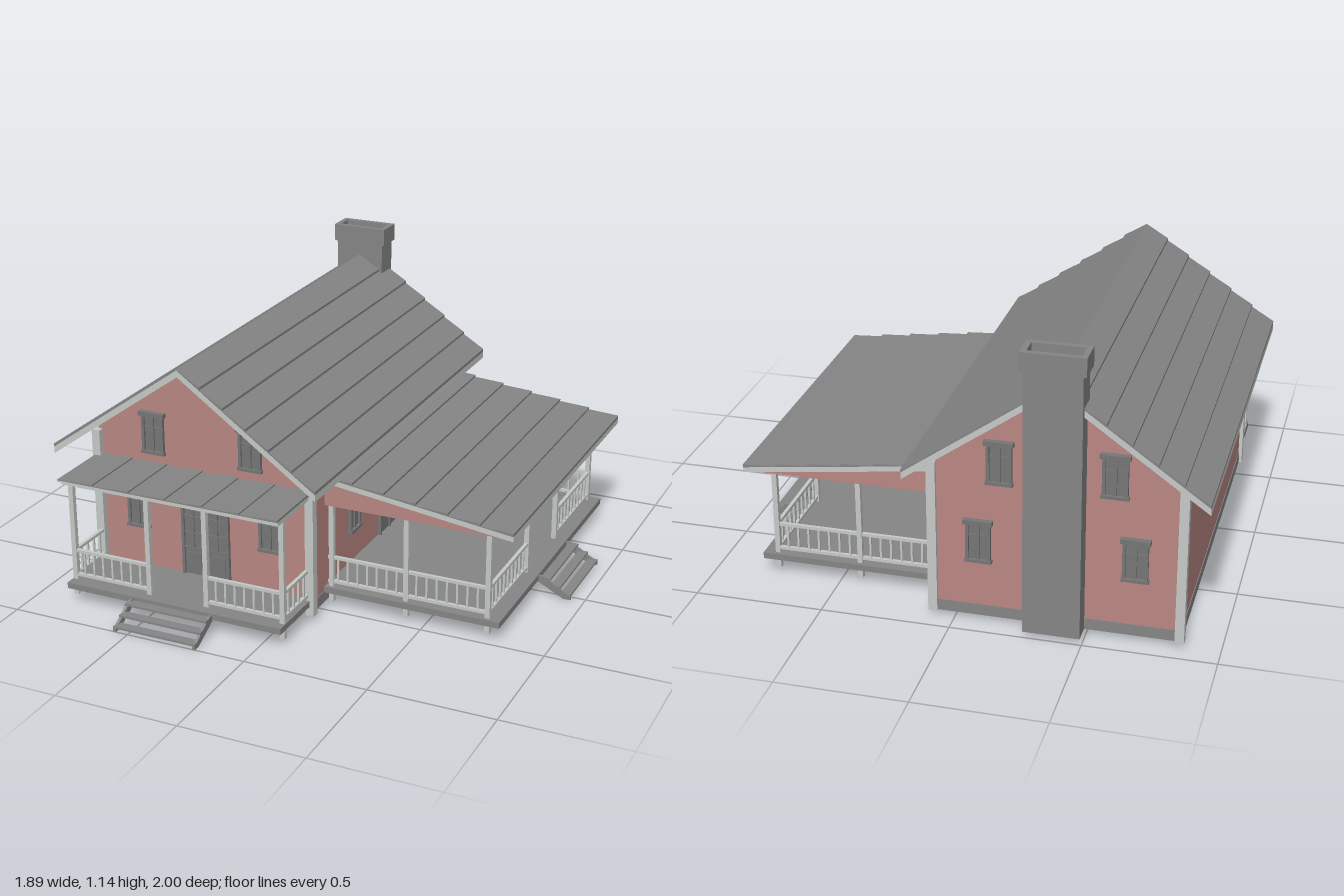
import * as THREE from 'three';

const mat = (name, color) => Object.assign(new THREE.MeshStandardMaterial({ color }), { name });

export function createModel() {
  const model = new THREE.Group();
  model.name = 'farmhouse';
  const red = mat('red siding', 0xb98683);
  const trim = mat('pale trim', 0xc6cac7);
  const grey = mat('grey roofing and stone', 0x858585);
  const joinery = mat('grey joinery', 0x767676);

  const add = (parent, name, geometry, material) => {
    const mesh = new THREE.Mesh(geometry, material);
    mesh.name = name;
    parent.add(mesh);
    return mesh;
  };
  // Box given by its low and high corners
  const box = (parent, name, material, [x0, x1], [y0, y1], [z0, z1]) => {
    const mesh = add(parent, name, new THREE.BoxGeometry(x1 - x0, y1 - y0, z1 - z0), material);
    mesh.position.set((x0 + x1) / 2, (y0 + y1) / 2, (z0 + z1) / 2);
    return mesh;
  };
  // Outline in x/y extruded from z0 to z1
  const prism = (parent, name, material, points, z0, z1) => {
    const shape = new THREE.Shape(points.map(([x, y]) => new THREE.Vector2(x, y)));
    const geometry = new THREE.ExtrudeGeometry(shape, { depth: z1 - z0, bevelEnabled: false });
    geometry.translate(0, 0, z0);
    return add(parent, name, geometry, material);
  };
  const group = (name) => {
    const g = new THREE.Group();
    g.name = name;
    model.add(g);
    return g;
  };

  // Roof plane: pale board below, overlapping courses on top
  const roofPlane = (name, [xa, ya], [xb, yb], thick, z0, z1, lip) => {
    const g = group(name);
    prism(g, 'roofBoard', trim, [[xa, ya], [xb, yb], [xb, yb - thick], [xa, ya - thick]], z0, z1);
    const n = 6;
    for (let i = 0; i < n; i++) {
      const at = (t, up) => [xa + (xb - xa) * t, ya + (yb - ya) * t + up];
      const a = i / n, b = (i + 1) / n;
      prism(g, 'roofCourse', grey, [at(a, 0), at(b, 0), at(b, lip), at(a, 0.003)], z0 - 0.002, z1 + 0.002);
    }
  };

  // House body and foundation
  const mid = -0.385;
  prism(model, 'houseWalls', red,
    [[-0.85, 0.06], [0.08, 0.06], [0.08, 0.648], [mid, 0.98], [-0.85, 0.648]], -0.915, 0.583);
  box(model, 'foundation', grey, [-0.853, 0.083], [0.02, 0.065], [-0.918, 0.586]);
  for (const x of [-0.865, 0.065])
    for (const z of [-0.93, 0.575])
      box(model, 'cornerBoard', trim, [x, x + 0.035], [0.02, 0.64], [z, z + 0.035]);

  // Roofs
  roofPlane('mainRoofRight', [mid, 1.008], [0.18, 0.607], 0.028, -0.973, 0.753, 0.013);
  roofPlane('mainRoofLeft', [mid, 1.008], [-0.947, 0.607], 0.028, -0.973, 0.753, 0.013);
  roofPlane('sidePorchRoof', [0.08, 0.562], [0.862, 0.46], 0.022, -0.806, 0.494, 0.012);
  roofPlane('frontPorchRoof', [-0.857, 0.53], [0.087, 0.53], 0.008, 0.583, 0.878, 0.009);
  prism(model, 'sidePorchGable', red,
    [[0.08, 0.43], [0.8, 0.43], [0.8, 0.447], [0.08, 0.54]], -0.775, 0.463);
  box(model, 'frontPorchBeam', trim, [-0.85, 0.08], [0.506, 0.522], [0.583, 0.86]);

  // Chimney with a hollow cap
  box(model, 'chimney', grey, [-0.492, -0.277], [0.02, 1.075], [-0.993, -0.887]);
  const cap = new THREE.Shape([[-0.12, -0.0575], [0.12, -0.0575], [0.12, 0.0575], [-0.12, 0.0575]]
    .map(([x, y]) => new THREE.Vector2(x, y)));
  cap.holes.push(new THREE.Path([[-0.098, -0.036], [-0.098, 0.036], [0.098, 0.036], [0.098, -0.036]]
    .map(([x, y]) => new THREE.Vector2(x, y))));
  const capMesh = add(model, 'chimneyCap',
    new THREE.ExtrudeGeometry(cap, { depth: 0.072, bevelEnabled: false }), grey);
  capMesh.rotation.x = -Math.PI / 2;
  capMesh.position.set(mid, 1.065, -0.9425);

  // Porch decks
  box(model, 'frontDeck', grey, [-0.853, 0.083], [0.06, 0.085], [0.58, 0.86]);
  box(model, 'sideDeck', grey, [0.08, 0.81], [0.06, 0.085], [-0.785, 0.475]);

  // Porch posts
  const post = (x, z, top) =>
    box(model, 'porchPost', trim, [x - 0.01, x + 0.01], [0.02, top], [z - 0.01, z + 0.01]);
  for (const x of [-0.84, -0.505, -0.255, 0.07]) post(x, 0.81, 0.51);
  const sideZ = [0.45, 0.02, -0.325, -0.76];
  for (const z of sideZ) post(0.755, z, 0.45);
  for (const z of [0.45, -0.76]) { post(0.42, z, 0.45); post(0.105, z, 0.45); }

  // Railings between two ground points
  const railing = (x0, z0, x1, z1) => {
    const g = group('railing');
    const len = Math.hypot(x1 - x0, z1 - z0);
    const n = Math.max(2, Math.round(len / 0.042));
    for (const y of [0.105, 0.208])
      box(g, 'rail', trim, [0, len], [y - 0.006, y + 0.006], [-0.007, 0.007]);
    for (let i = 1; i < n; i++) {
      const x = len * i / n;
      box(g, 'baluster', trim, [x - 0.004, x + 0.004], [0.105, 0.208], [-0.004, 0.004]);
    }
    g.position.set(x0, 0, z0);
    g.rotation.y = Math.atan2(z0 - z1, x1 - x0);
  };
  railing(-0.84, 0.81, -0.505, 0.81);
  railing(-0.255, 0.81, 0.07, 0.81);
  for (const x of [-0.84, 0.07]) railing(x, 0.59, x, 0.81);
  for (const z of [0.45, -0.76]) {
    railing(0.09, z, 0.42, z);
    railing(0.42, z, 0.755, z);
  }
  railing(0.755, 0.45, 0.755, 0.02);
  railing(0.755, -0.325, 0.755, -0.76);

  // Open stairs descending along local +x
  const stairs = (name, x, z, run, angle) => {
    const g = group(name);
    const w = 0.178;
    for (const s of [-1, 1]) {
      const zc = s * (w - 0.006);
      prism(g, 'stringer', grey,
        [[0, 0.055], [run - 0.03, 0], [run, 0], [run, 0.012], [0.02, 0.08], [0, 0.08]], zc - 0.006, zc + 0.006);
    }
    for (let i = 0; i < 3; i++) {
      const x0 = 0.01 + i * (run - 0.05) / 2, y = 0.076 - i * 0.027;
      box(g, 'tread', grey, [x0, x0 + 0.04], [y - 0.008, y], [-w, w]);
    }
    g.position.set(x, 0, z);
    g.rotation.y = angle;
  };
  stairs('frontStairs', mid, 0.86, 0.14, -Math.PI / 2);
  stairs('sideStairs', 0.81, -0.15, 0.135, 0);

  // Glazed opening facing local +z, its foot at y = 0
  const opening = (name, x, y, z, angle, w, h) => {
    const g = group(name);
    const bar = (x0, x1, y0, y1, d) => box(g, 'frameBar', joinery, [x0, x1], [y0, y1], [0, d]);
    box(g, 'panes', joinery, [-w / 2, w / 2], [0, h], [-0.002, 0.005]);
    for (const s of [-1, 1]) {
      const e = s * (w / 2 - 0.006);
      bar(e - 0.006, e + 0.006, 0, h, 0.014);
    }
    bar(-w / 2 - 0.008, w / 2 + 0.008, h - 0.018, h, 0.022);
    bar(-0.006, 0.006, 0, h, 0.012);
    if (h < 0.25) {
      bar(-w / 2 - 0.004, w / 2 + 0.004, 0, 0.012, 0.018);
      bar(-w / 2, w / 2, h * 0.62, h * 0.62 + 0.006, 0.01);
    } else {
      for (const s of [-1, 1]) {
        const c = s * w / 4;
        bar(c - 0.003, c + 0.003, h * 0.34, h, 0.01);
        bar(c - w * 0.15, c + w * 0.15, 0.03, h * 0.28, 0.009);
      }
      for (const t of [0.33, 0.52, 0.72]) bar(-w / 2, w / 2, h * t, h * t + 0.007, 0.01);
    }
    g.position.set(x, y, z);
    g.rotation.y = angle;
  };
  for (const s of [-1, 1]) {
    for (const [z, angle] of [[0.583, 0], [-0.915, Math.PI]]) {
      opening('upperWindow', mid + s * 0.212, 0.575, z, angle, 0.095, 0.175);
      opening('lowerWindow', mid + s * 0.292, 0.248, z, angle, 0.095, 0.175);
    }
    opening('sideWindow', 0.08, 0.215, -0.153 + s * 0.353, Math.PI / 2, 0.095, 0.165);
  }
  opening('frontDoors', mid + 0.008, 0.085, 0.583, 0, 0.21, 0.345);
  opening('sideDoors', 0.08, 0.085, -0.15, Math.PI / 2, 0.205, 0.34);

  return model;
}
